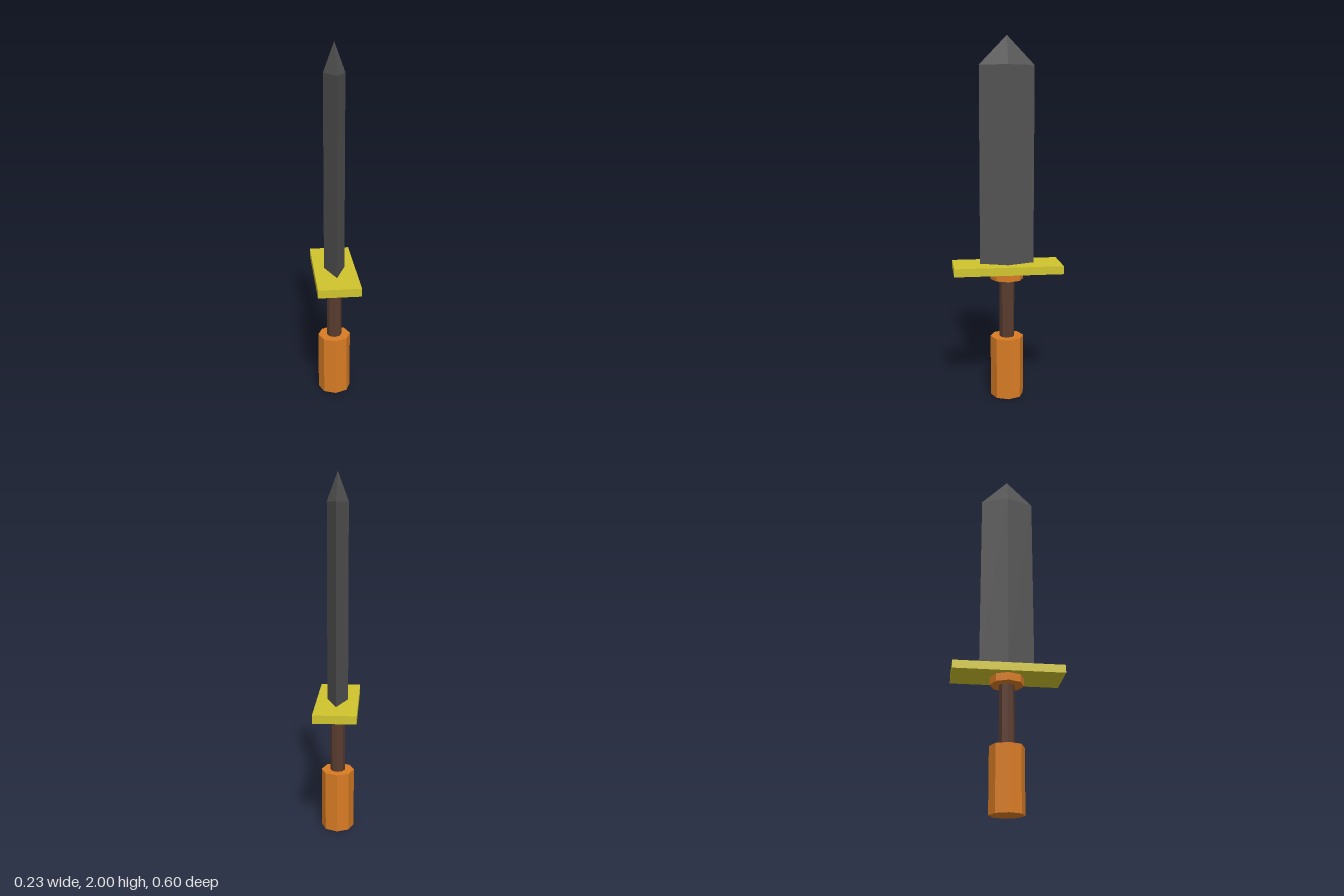
import * as THREE from 'three';

export function createModel() {
  const model = new THREE.Group();
  model.name = 'sword';

  const mat = (name, color) => {
    const m = new THREE.MeshStandardMaterial({ color });
    m.name = name;
    m.flatShading = true;
    return m;
  };
  const orange = mat('orange wood', 0xd97c24);
  const brown = mat('dark brown grip', 0x5a3c2f);
  const yellow = mat('yellow metal', 0xd0c42e);
  const steel = mat('dark steel', 0x535353);

  // Adds a part standing between heights y0 and y1
  const add = (name, geometry, material, y0, y1) => {
    const mesh = new THREE.Mesh(geometry, material);
    mesh.name = name;
    mesh.position.y = (y0 + y1) / 2;
    model.add(mesh);
  };
  const octagon = (name, radius, material, y0, y1) =>
    add(name, new THREE.CylinderGeometry(radius, radius, y1 - y0, 8), material, y0, y1);

  // Handle: pommel, thin grip and collar
  octagon('pommel', 0.0925, orange, 0, 0.345);
  octagon('grip', 0.042, brown, 0.345, 0.68);
  octagon('collar', 0.0925, orange, 0.677, 0.72);

  // Flat crossguard
  add('guard', new THREE.BoxGeometry(0.233, 0.045, 0.6), yellow, 0.72, 0.765);

  // Diamond-section blade with a pyramid tip
  const blade = new THREE.CylinderGeometry(1, 1, 1.08, 4, 1, true).scale(0.058, 1, 0.15);
  add('blade', blade, steel, 0.765, 1.845);
  const tip = new THREE.ConeGeometry(1, 0.155, 4, 1, true).scale(0.058, 1, 0.15);
  add('bladeTip', tip, steel, 1.845, 2);

  return model;
}
